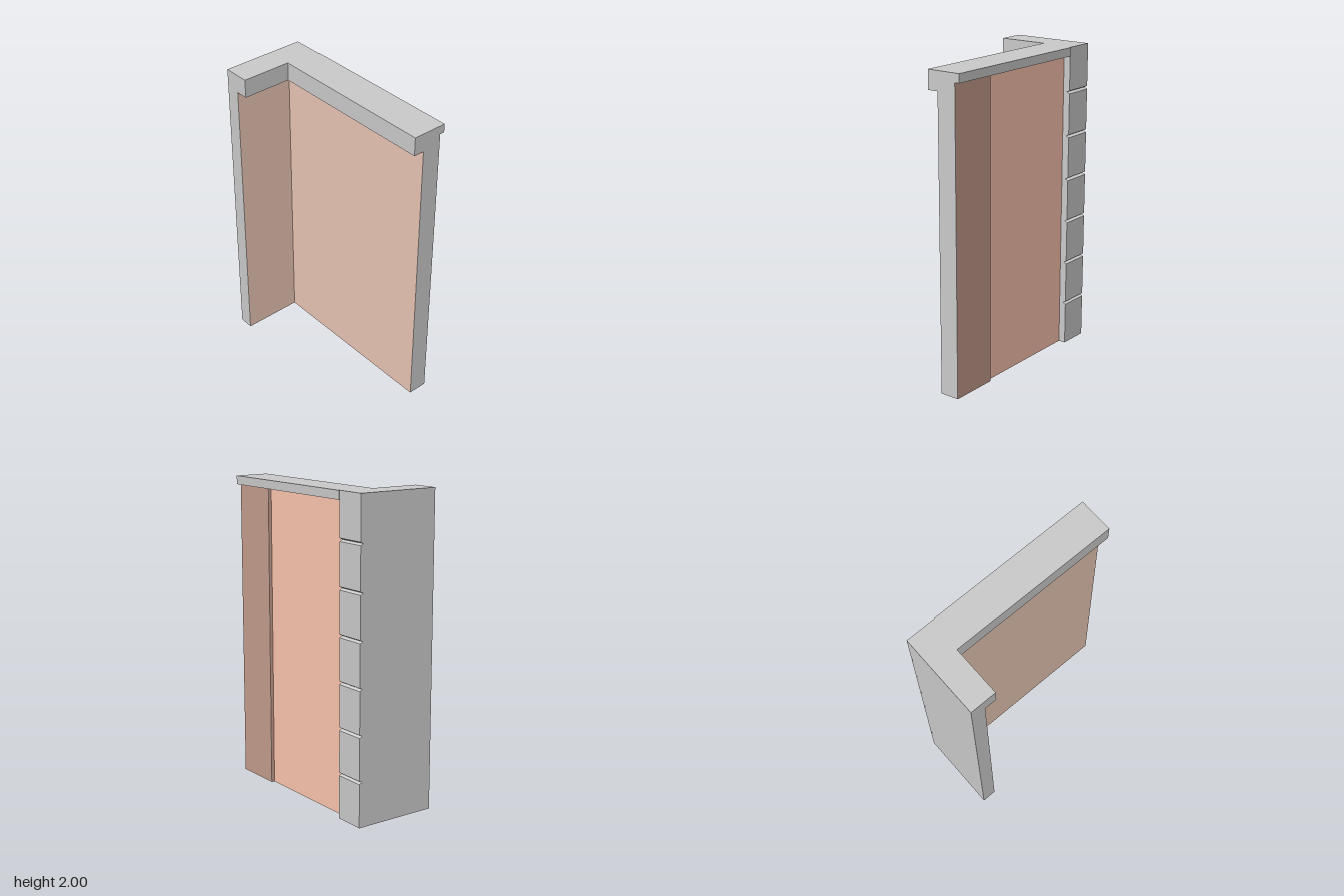
import * as THREE from 'three';

const grey = new THREE.MeshStandardMaterial({ color: 0xcccccc });
const paint = (color) => new THREE.MeshStandardMaterial({ color });

function add(group, name, geometry, material = grey) {
  const mesh = new THREE.Mesh(geometry, material);
  mesh.name = name;
  group.add(mesh);
  return mesh;
}

// Upright prism from a footprint of [x, z] points
function prism(points, y0, y1) {
  const shape = new THREE.Shape(points.map(([x, z]) => new THREE.Vector2(x, -z)));
  return new THREE.ExtrudeGeometry(shape, { depth: y1 - y0, bevelEnabled: false })
    .rotateX(-Math.PI / 2)
    .translate(0, y0, 0);
}

// Footprint of an L-shaped run; innerX and innerZ are its room-side faces
const X = 0.65, FRONT = 0.278, STEP = 0.33, PIER = -0.45;
const DEEP = -0.225, SHALLOW = -0.247, PIER_BACK = -0.272, CORNICE_BACK = -0.278;
const footprint = (innerX, innerZ) => [
  [-X, FRONT], [innerX, FRONT], [innerX, innerZ], [X, innerZ],
  [X, SHALLOW], [STEP, SHALLOW], [STEP, DEEP], [PIER, DEEP],
  [PIER, SHALLOW], [-X, SHALLOW],
];

// Coloured facing laid on a wall, turned about y to face outwards
function facing(group, name, width, y1, x, z, turn, color) {
  const mesh = add(group, name, new THREE.PlaneGeometry(width, y1), paint(color));
  mesh.position.set(x, y1 / 2, z);
  mesh.rotation.y = turn;
}

export function createModel() {
  const group = new THREE.Group();
  group.name = 'cornerWall';

  // Walls and the thicker header above them
  const innerX = -0.555, innerZ = -0.12, headY = 1.88, corniceY = 1.945;
  add(group, 'walls', prism(footprint(innerX, innerZ), 0, headY));
  add(group, 'header', prism(footprint(-0.475, -0.05), headY, 2));

  // Cornice along the outside top
  add(group, 'cornice', prism([
    [PIER, CORNICE_BACK], [X, CORNICE_BACK], [X, SHALLOW],
    [STEP, SHALLOW], [STEP, DEEP], [PIER, DEEP],
  ], corniceY, 2));

  // Corner pier of seven blocks parted by V grooves
  const blocks = 7, half = 0.01;
  const profile = [[SHALLOW, 0], [PIER_BACK, 0]];
  for (let i = 1; i < blocks; i++) {
    const y = (2 * i) / blocks;
    profile.push([PIER_BACK, y - half], [PIER_BACK + 0.02, y], [PIER_BACK, y + half]);
  }
  profile.push([PIER_BACK, 2], [SHALLOW, 2]);
  const pierShape = new THREE.Shape(profile.map(([z, y]) => new THREE.Vector2(-z, y)));
  const pier = new THREE.ExtrudeGeometry(pierShape, { depth: PIER + X, bevelEnabled: false })
    .rotateY(Math.PI / 2)
    .translate(-X, 0, 0);
  add(group, 'cornerPier', pier);

  // Painted facings, inside and outside
  const gap = 0.001, inside = 0xe8c5b3;
  facing(group, 'insideBackFacing', X - innerX, headY, (X + innerX) / 2, innerZ + gap, 0, inside);
  facing(group, 'insideSideFacing', FRONT - innerZ, headY, innerX + gap, (FRONT + innerZ) / 2, Math.PI / 2, inside);
  facing(group, 'outsideMainFacing', STEP - PIER, corniceY, (STEP + PIER) / 2, DEEP - gap, Math.PI, 0xfec6b0);
  facing(group, 'outsideEndFacing', X - STEP, corniceY, (X + STEP) / 2, SHALLOW - gap, Math.PI, 0xc69e8f);
  facing(group, 'outsideStepFacing', DEEP - SHALLOW, corniceY, STEP - gap, (DEEP + SHALLOW) / 2, -Math.PI / 2, 0xc69e8f);

  return group;
}
